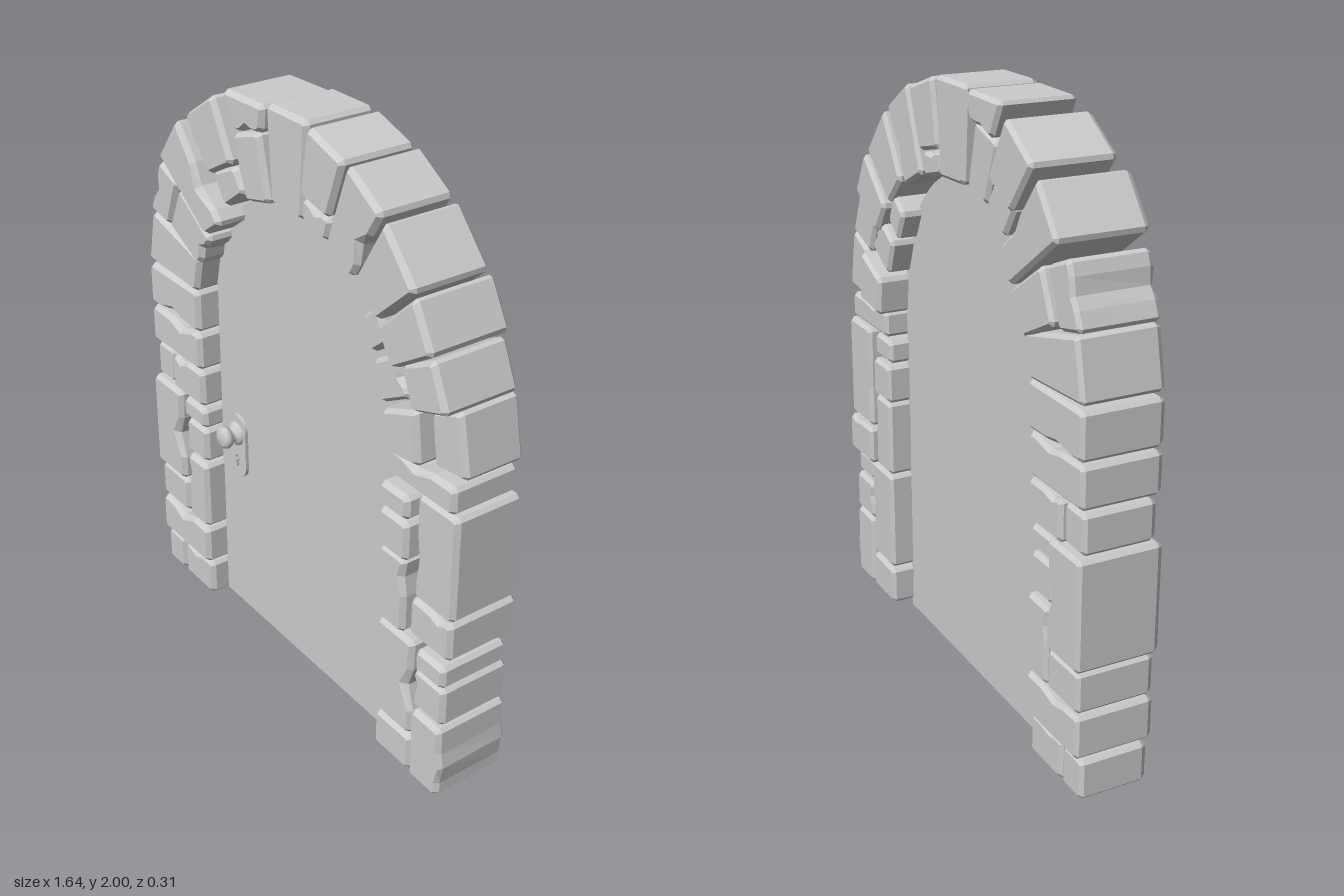
import * as THREE from 'three';

const stoneMat = new THREE.MeshStandardMaterial({ color: 0xcccccc, flatShading: true });
const smoothMat = new THREE.MeshStandardMaterial({ color: 0xcccccc });
const BEVEL = 0.012;

// Outline of a stone: clipped corners, plus an optional worn dent [edge, position, depth]
function outline(corners, chip) {
  const pts = [];
  const n = corners.length;
  corners.forEach((a, i) => {
    const b = corners[(i + 1) % n];
    const cut = 0.012 / a.distanceTo(b);
    const along = (t, dent = 0) => {
      const p = a.clone().lerp(b, t);
      p.dent = dent;
      pts.push(p);
    };
    along(cut);
    if (chip && chip[0] === i) {
      along(Math.max(cut * 1.5, chip[1] - 0.25));
      along(chip[1], chip[2]);
      along(Math.min(1 - cut * 1.5, chip[1] + 0.2), chip[2] * 0.15);
    }
    along(1 - cut);
  });
  return pts;
}

// Moves every outline point inwards by its inset (mitred)
function shrink(pts, inset) {
  const n = pts.length;
  return pts.map((p, i) => {
    const d1 = p.clone().sub(pts[(i + n - 1) % n]).normalize();
    const d2 = pts[(i + 1) % n].clone().sub(p).normalize();
    const m = new THREE.Vector2(-d1.y - d2.y, d1.x + d2.x).normalize();
    const k = 1 / Math.max(0.6, m.x * -d1.y + m.y * d1.x);
    return p.clone().addScaledVector(m, inset(p) * k);
  });
}

// Bevelled stone lofted through four rings from back to front
function stone(name, corners, z0 = -0.13, z1 = 0.135, chip = null) {
  const base = outline(corners, chip);
  const n = base.length;
  const levels = [[z0, BEVEL, 0.6], [z0 + BEVEL, 0, 0.5], [z1 - BEVEL * 1.5, 0, 0.75], [z1, BEVEL, 1.15]];
  const pos = [], index = [];
  let cap = null;
  levels.forEach(([z, bevel, wear]) => {
    const ring = shrink(base, (p) => bevel + p.dent * wear);
    cap = ring;
    ring.forEach((p) => pos.push(p.x, p.y, z));
  });
  for (let r = 0; r < 3; r++) {
    for (let i = 0; i < n; i++) {
      const j = (i + 1) % n, a = r * n + i, b = r * n + j;
      index.push(a, b, b + n, a, b + n, a + n);
    }
  }
  THREE.ShapeUtils.triangulateShape(cap, []).forEach(([a, b, c]) => {
    index.push(3 * n + a, 3 * n + b, 3 * n + c, a, c, b);
  });
  let geo = new THREE.BufferGeometry();
  geo.setAttribute('position', new THREE.Float32BufferAttribute(pos, 3));
  geo.setIndex(index);
  geo = geo.toNonIndexed();
  geo.computeVertexNormals();
  const mesh = new THREE.Mesh(geo, stoneMat);
  mesh.name = name;
  return mesh;
}

function stoneGroup(name, rows) {
  const group = new THREE.Group();
  group.name = name;
  rows.forEach(([c, z0, z1, chip], i) => {
    const q = c.length === 4 ? [c[0], c[1], c[2], c[1], c[2], c[3], c[0], c[3]] : c;
    const corners = [];
    for (let k = 0; k < q.length; k += 2) corners.push(new THREE.Vector2(q[k], q[k + 1]));
    group.add(stone(`${name}Stone${i + 1}`, corners, z0, z1, chip));
  });
  return group;
}

// Jamb stones: [x0, y0, x1, y1], back z, front z, dent
const rightJamb = [
  [[-.81, 0, -.7, .135], -.11, .12],
  [[-.69, 0, -.505, .135], -.11, .12, [2, .6, .015]],
  [[-.81, .145, -.505, .29], -.13, .135, [2, .55, .03]],
  [[-.81, .3, -.635, .435], -.13, .13],
  [[-.625, .3, -.505, .56], -.13, .13, [3, .25, .015]],
  [[-.82, .44, -.64, .8], -.14, .14, [1, .5, .04]],
  [[-.635, .57, -.51, .7], -.12, .12],
  [[-.64, .71, -.505, .785], -.12, .125],
  [[-.81, .805, -.7, .935], -.12, .12],
  [[-.695, .8, -.505, .935], -.13, .13, [2, .75, .02]],
  [[-.81, .945, -.505, 1.08], -.13, .135, [2, .4, .025]],
  [[-.81, 1.09, -.505, 1.24], -.135, .135, [0, .45, .02]],
];
const leftJamb = [
  [[.49, .03, .665, .165], -.13, .135],
  [[.67, .03, .805, .295], -.13, .14, [1, .45, -.015]],
  [[.49, .175, .66, .535], -.13, .135, [1, .5, .035]],
  [[.66, .3, .8, .44], -.13, .125, [3, .4, .015]],
  [[.67, .445, .8, .525], -.12, .13],
  [[.49, .54, .61, .81], -.13, .135, [1, .75, .015]],
  [[.615, .54, .8, .675], -.15, .11, [2, .3, .015]],
  [[.49, .81, .62, .945], -.13, .14],
  [[.49, .955, .62, 1.035], -.12, .14],
  [[.625, .68, .8, 1.045], -.14, .105, [3, .6, .01]],
  [[.5, 1.05, .785, 1.14], -.13, .11, [2, .6, .02]],
];
// Arch stones: four corners anticlockwise, back z, front z, dent
const rightArch = [
  [[-.81, 1.255, -.51, 1.24, -.48, 1.37, -.77, 1.445], -.135, .135],
  [[-.65, 1.435, -.48, 1.35, -.4, 1.47, -.58, 1.59], -.14, .14, [1, .5, .02]],
  [[-.78, 1.45, -.665, 1.425, -.6, 1.595, -.71, 1.64], -.13, .135, [3, .5, .02]],
  [[-.41, 1.485, -.32, 1.55, -.56, 1.825, -.675, 1.675], -.145, .155, [1, .4, .035]],
  [[-.4, 1.69, -.265, 1.765, -.365, 1.955, -.525, 1.85], -.14, .14],
  [[-.33, 1.6, -.22, 1.68, -.27, 1.755, -.395, 1.7], -.12, .125],
  [[-.2, 1.665, -.08, 1.695, -.13, 1.905, -.27, 1.86], -.11, .13],
  [[-.26, 1.87, -.115, 1.905, -.105, 1.99, -.32, 1.985], -.125, .13, [0, .5, .015]],
];
const keystone = [[[-.08, 1.7, .08, 1.695, .1, 2, -.1, 2], -.125, .12]];
const leftArch = [
  [[.08, 1.78, .215, 1.75, .285, 1.94, .115, 1.995], -.13, .13],
  [[.075, 1.7, .195, 1.67, .215, 1.745, .08, 1.775], -.12, .12, [2, .5, .015]],
  [[.21, 1.675, .335, 1.615, .465, 1.85, .31, 1.945], -.125, .135, [1, .45, .03]],
  [[.35, 1.63, .45, 1.53, .615, 1.68, .475, 1.835], -.135, .135],
  [[.46, 1.52, .53, 1.415, .7, 1.525, .62, 1.67], -.145, .14],
  [[.365, 1.51, .415, 1.41, .485, 1.47, .44, 1.57], -.12, .12],
  [[.43, 1.4, .475, 1.28, .6, 1.35, .54, 1.465], -.13, .13, [2, .5, .015]],
  [[.565, 1.445, .62, 1.32, .765, 1.37, .7, 1.515], -.13, .135],
  [[.495, 1.135, .655, 1.155, .635, 1.33, .48, 1.265], -.16, .135],
  [[.67, 1.15, .805, 1.165, .765, 1.37, .645, 1.32], -.13, .085],
];

function extrude(name, shape, z0, z1, mat) {
  const geo = new THREE.ExtrudeGeometry(shape, { depth: z1 - z0, bevelEnabled: false, curveSegments: 24 });
  const mesh = new THREE.Mesh(geo, mat);
  mesh.position.z = z0;
  mesh.name = name;
  return mesh;
}

function doorHandle() {
  const group = new THREE.Group();
  group.name = 'doorHandle';
  // Rounded plate with a keyhole
  const plate = new THREE.Shape();
  plate.absarc(0, .07, .052, 0, Math.PI);
  plate.absarc(0, -.07, .052, Math.PI, Math.PI * 2);
  const keyhole = new THREE.Path();
  keyhole.absarc(0, -.05, .012, -Math.PI * .3, Math.PI * 1.3);
  keyhole.lineTo(-.006, -.09);
  keyhole.lineTo(.006, -.09);
  plate.holes.push(keyhole);
  group.add(extrude('handlePlate', plate, 0, .012, smoothMat));
  // Turned knob
  const profile = [[0.042, 0], [.042, .02], [.03, .026], [.022, .03], [.022, .042], [.036, .048],
    [.04, .06], [.037, .072], [.026, .079], [0, .081]].map(([r, y]) => new THREE.Vector2(r, y));
  const knob = new THREE.Mesh(new THREE.LatheGeometry(profile, 28), smoothMat);
  knob.name = 'knob';
  knob.rotation.x = Math.PI / 2;
  knob.position.y = .05;
  group.add(knob);
  group.position.set(-.397, .68, .05);
  return group;
}

export function createModel() {
  const model = new THREE.Group();
  model.name = 'archedDoorway';

  // Plain arched door slab, its edge tucked among the stones
  const door = new THREE.Shape();
  door.moveTo(-.51, 0.005);
  door.lineTo(.5, 0.005);
  door.lineTo(.5, 1.2);
  door.absellipse(-.005, 1.2, .505, .51, 0, Math.PI);
  door.lineTo(-.51, 0.005);
  model.add(extrude('door', door, -.05, .05, stoneMat));
  model.add(doorHandle());

  model.add(stoneGroup('rightJamb', rightJamb), stoneGroup('leftJamb', leftJamb));
  model.add(stoneGroup('rightArch', rightArch), stoneGroup('keystone', keystone), stoneGroup('leftArch', leftArch));
  return model;
}
